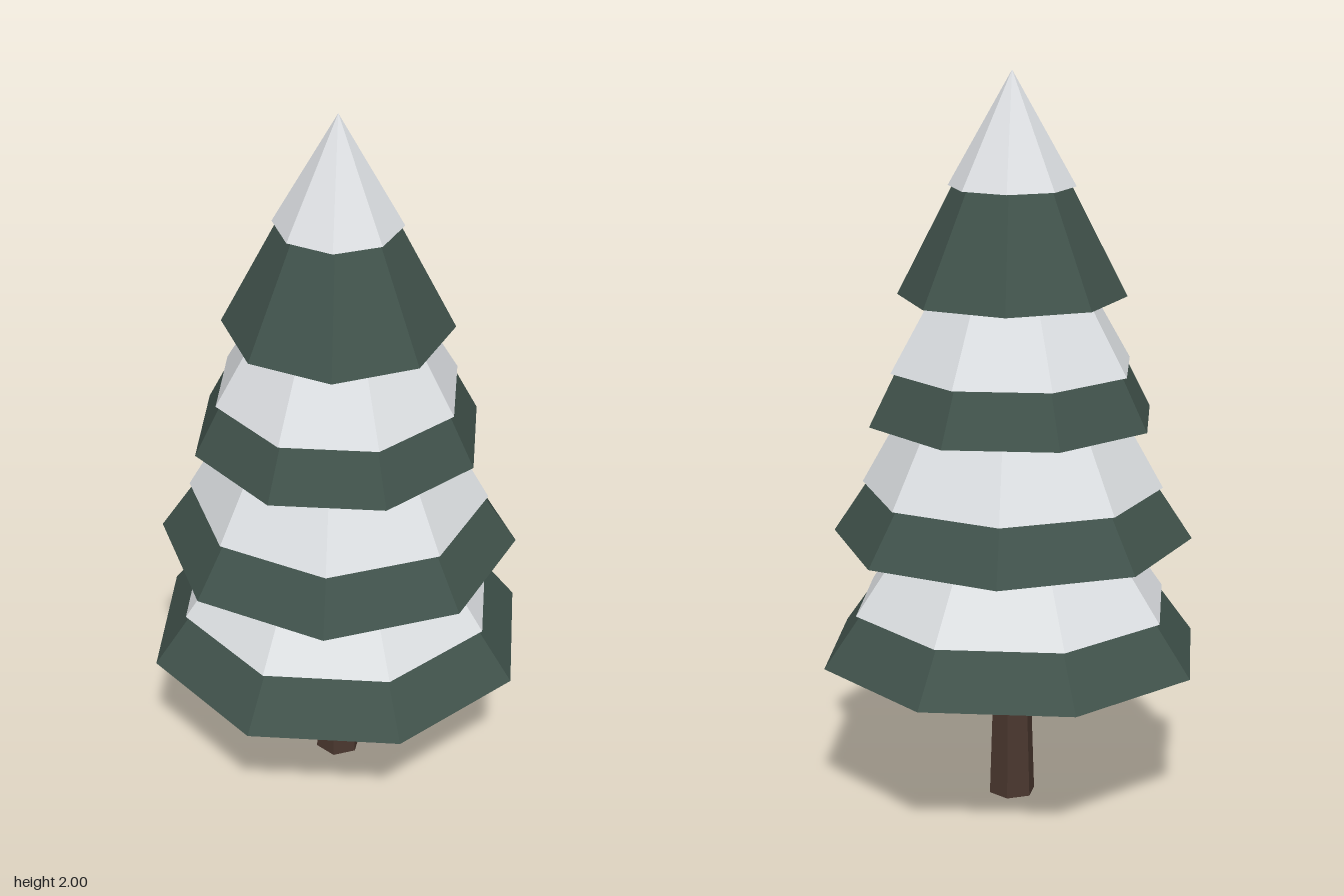
import * as THREE from 'three';

const SIDES = 8;

export function createModel() {
  const tree = new THREE.Group();
  tree.name = 'snowyPine';

  const needles = new THREE.MeshStandardMaterial({ name: 'pineGreen', color: 0x40524b, flatShading: true });
  const snow = new THREE.MeshStandardMaterial({ name: 'snowWhite', color: 0xdde0e3, flatShading: true });
  const bark = new THREE.MeshStandardMaterial({ name: 'barkBrown', color: 0x4a372f, flatShading: true });

  // Faceted cone or frustum standing between two heights
  function frustum(name, material, sides, y0, r0, y1, r1, turn) {
    const geometry = new THREE.CylinderGeometry(r1, r0, y1 - y0, sides);
    geometry.rotateY(turn);
    geometry.translate(0, (y0 + y1) / 2, 0);
    const mesh = new THREE.Mesh(geometry, material);
    mesh.name = name;
    return mesh;
  }

  // Tapered six-sided trunk
  tree.add(frustum('trunk', bark, 6, 0, 0.065, 0.44, 0.05, Math.PI / 2));

  // Branch tiers, each with a snow cone resting on it; every other tier is turned half a facet
  const tiers = [
    { y: 0.42, r: 0.53, snowY: 0.56, snowR: 0.44, apex: 1.19 },
    { y: 0.75, r: 0.487, snowY: 0.89, snowR: 0.407, apex: 1.62 },
    { y: 1.08, r: 0.395, snowY: 1.22, snowR: 0.335, apex: 1.8 },
    { y: 1.41, r: 0.305, snowY: 1.7, snowR: 0.169, apex: 2.0 },
  ];
  tiers.forEach((t, i) => {
    const half = Math.PI / SIDES;
    const snowTurn = i % 2 ? half : 0;
    const turn = i === 3 ? half + 0.025 : snowTurn;
    // Branches stop just inside the snow
    const slope = (t.snowR - 0.012 - t.r) / (t.snowY - t.y);
    const top = t.snowY + 0.02;
    const tier = new THREE.Group();
    tier.name = `tier${i + 1}`;
    tier.add(
      frustum('branches', needles, SIDES, t.y, t.r, top, t.r + slope * (top - t.y), turn),
      frustum('snow', snow, SIDES, t.snowY, t.snowR, t.apex, 0, snowTurn),
    );
    tree.add(tier);
  });

  return tree;
}
